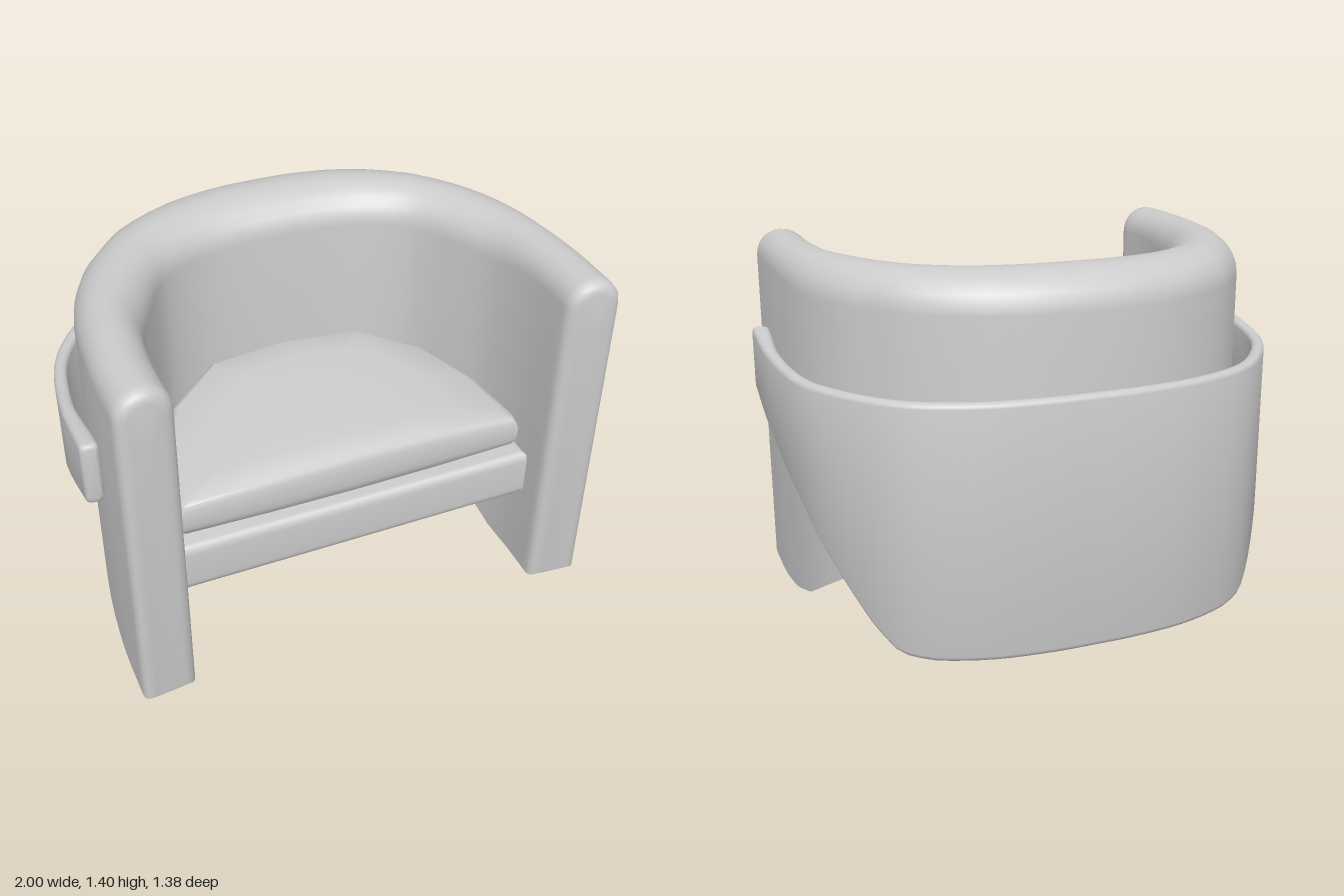
import * as THREE from 'three';
import { toCreasedNormals } from 'three/addons/utils/BufferGeometryUtils.js';

const V = (x, y, z) => new THREE.Vector3(x, y, z);
const material = new THREE.MeshStandardMaterial({ color: 0xcccccc });

// Joins closed rings into a capped solid
function loft(rings, crease) {
  const pos = [];
  const tri = (...p) => p.forEach(v => pos.push(v.x, v.y, v.z));
  const n = rings[0].length, last = rings.length - 1;
  const mid = ring => ring.reduce((s, v) => s.add(v), V(0, 0, 0)).divideScalar(n);
  const c0 = mid(rings[0]), c1 = mid(rings[last]);
  for (let j = 0; j < n; j++) {
    const k = (j + 1) % n;
    for (let i = 0; i < last; i++) {
      const a = rings[i], b = rings[i + 1];
      tri(a[j], a[k], b[j]);
      tri(a[k], b[k], b[j]);
    }
    tri(c0, rings[0][k], rings[0][j]);
    tri(c1, rings[last][j], rings[last][k]);
  }
  const g = new THREE.BufferGeometry();
  g.setAttribute('position', new THREE.Float32BufferAttribute(pos, 3));
  return toCreasedNormals(g, crease);
}

// Piecewise-linear lookup in [z, y] pairs ordered by falling z
function lookup(table, z) {
  if (z >= table[0][0]) return table[0][1];
  for (let i = 1; i < table.length; i++) {
    const [z0, y0] = table[i - 1], [z1, y1] = table[i];
    if (z >= z1) return y0 + (y1 - y0) * (z0 - z) / (z0 - z1);
  }
  return table[table.length - 1][1];
}

// Mirrors a half plan (left front to centre back) into a full U curve
function uCurve(half) {
  const mirrored = half.slice(0, -1).reverse().map(([x, z]) => [-x, z]);
  return new THREE.CatmullRomCurve3([...half, ...mirrored].map(([x, z]) => V(x, 0, z)));
}

// Samples bunched towards both ends, for the rounded tips
const samples = n => Array.from({ length: n + 1 }, (_, i) => (1 - Math.cos(Math.PI * i / n)) / 2);

// Inset that rounds an end, d being the distance from it
const endInset = (d, r) => d >= r ? 0 : r - Math.sqrt(Math.max(0, r * r - (r - d) ** 2));

const bodyOuter = [[.925, .69], [.925, .35], [.885, 0], [.805, -.21], [.715, -.335], [.61, -.445], [.395, -.57], [.18, -.625], [0, -.635]];
const bodyInner = [[.72, .67], [.72, .4], [.685, .19], [.61, .02], [.555, -.08], [.49, -.16], [.34, -.245], [.18, -.278], [0, -.285]];
const bodyBottom = [[.35, 0], [.22, .012], [.05, .06], [0, .09], [-.24, .24], [-.33, .32], [-.42, .365], [-.7, .38]];

// Thick U wall with a round top and a bottom that rises to the back
function bodyGeometry() {
  const outer = uCurve(bodyOuter), inner = uCurve(bodyInner);
  const rings = samples(64).map(t => {
    const o = outer.getPoint(t), i = inner.getPoint(t);
    const across = o.clone().sub(i), width = across.length();
    const inset = endInset(.69 - o.z, .045);
    const bottom = lookup(bodyBottom, o.z) + inset * .6;
    const half = width / 2 - inset, rise = Math.min(half, .14);
    const top = 1.405 - inset;
    const at = (u, y) => i.clone().addScaledVector(across, .5 + u / width).setY(y);
    const ring = [at(-half, bottom)];
    for (let k = 0; k <= 12; k++) {
      const a = Math.PI * k / 12;
      ring.push(at(-half * Math.cos(a), top - rise + rise * Math.sin(a)));
    }
    ring.push(at(half, bottom));
    return ring;
  });
  return loft(rings, .7);
}

const bandPlan = [[1, .44], [.995, .1], [.94, -.2], [.82, -.405], [.66, -.56], [.42, -.655], [.17, -.687], [0, -.69]];
const bandTop = [[.44, 1.06], [0, 1.01], [-.2, .995], [-.69, .985]];
const bandBottom = [[.44, .805], [.4, .795], [.12, .7], [-.15, .54], [-.33, .32], [-.46, .13], [-.53, .04], [-.6, .02], [-.69, .015]];

// Thin wrap-around panel that widens to the floor at the back
function bandGeometry() {
  const curve = uCurve(bandPlan);
  const rings = samples(96).map(t => {
    const o = curve.getPoint(t), d = curve.getTangent(t);
    const inward = V(d.z, 0, -d.x);
    const thick = .05 + .018 * THREE.MathUtils.smoothstep(o.z, .1, .44);
    const inset = endInset(.44 - o.z, .02);
    const top = lookup(bandTop, o.z) - inset;
    const bottom = lookup(bandBottom, o.z) + inset;
    const r = .02, ring = [];
    const corner = (u, y, start) => {
      for (let k = 0; k <= 3; k++) {
        const a = start - k * Math.PI / 6;
        ring.push(o.clone().addScaledVector(inward, u - r * Math.cos(a)).setY(y + r * Math.sin(a)));
      }
    };
    const near = r + inset, far = thick - r - inset;
    const uIn = Math.max(far, thick / 2), uOut = Math.min(near, thick / 2);
    corner(uIn, bottom + r, -Math.PI / 2);
    corner(uIn, top - r, Math.PI);
    corner(uOut, top - r, Math.PI / 2);
    corner(uOut, bottom + r, 0);
    return ring;
  });
  return loft(rings, .7);
}

// Seat base: U plan reaching slightly into the wall, rounded edges
function baseGeometry() {
  const half = [[.7, .5], [.7, .19], [.62, .02], [.5, -.16], [.34, -.25], [0, -.29]];
  const plan = [...half, ...half.slice(0, -1).reverse().map(([x, z]) => [-x, z])];
  const shape = new THREE.Shape(plan.map(([x, z]) => new THREE.Vector2(x, -z)));
  const g = new THREE.ExtrudeGeometry(shape, { depth: .13, bevelSize: .03, bevelThickness: .04, bevelSegments: 5 });
  g.rotateX(-Math.PI / 2).translate(0, .39, 0);
  return toCreasedNormals(g, .6);
}

// Cushion: stacked rings, domed sideways and rising to the back
function cushionGeometry() {
  const right = [[.35, .49], [.69, .49], [.7, .46], [.665, .2], [.56, -.05], [.33, -.245]];
  const plan = [[0, .49], ...right, [0, -.275], ...right.slice().reverse().map(([x, z]) => [-x, z])];
  const dome = x => 1 - (x / .7) ** 2;
  const top = (x, z) => .72 + .025 * dome(x) + .045 * (.49 - z) / .765 * Math.min(1, .35 + dome(x));
  const bottom = x => .58 - .018 * dome(x);
  // [scale, share of the way from bottom to top]
  const layers = [[.4, 0], [.93, 0], [.975, .08], [.995, .25], [1, .42], [1, .6], [.99, .8], [.97, .93], [.93, 1], [.65, 1.03], [.3, 1.05]];
  const rings = layers.map(([s, f]) => plan.map(([px, pz]) => {
    const x = px * s, z = .12 + (pz - .12) * s;
    return V(x, THREE.MathUtils.lerp(bottom(x), top(x, z), f), z);
  }));
  return loft(rings, .75);
}

export function createModel() {
  const group = new THREE.Group();
  group.name = 'armchair';
  const add = (name, geometry) => {
    const mesh = new THREE.Mesh(geometry, material);
    mesh.name = name;
    group.add(mesh);
  };
  add('armAndBackShell', bodyGeometry());
  add('outerBand', bandGeometry());
  add('seatBase', baseGeometry());
  add('seatCushion', cushionGeometry());
  return group;
}
